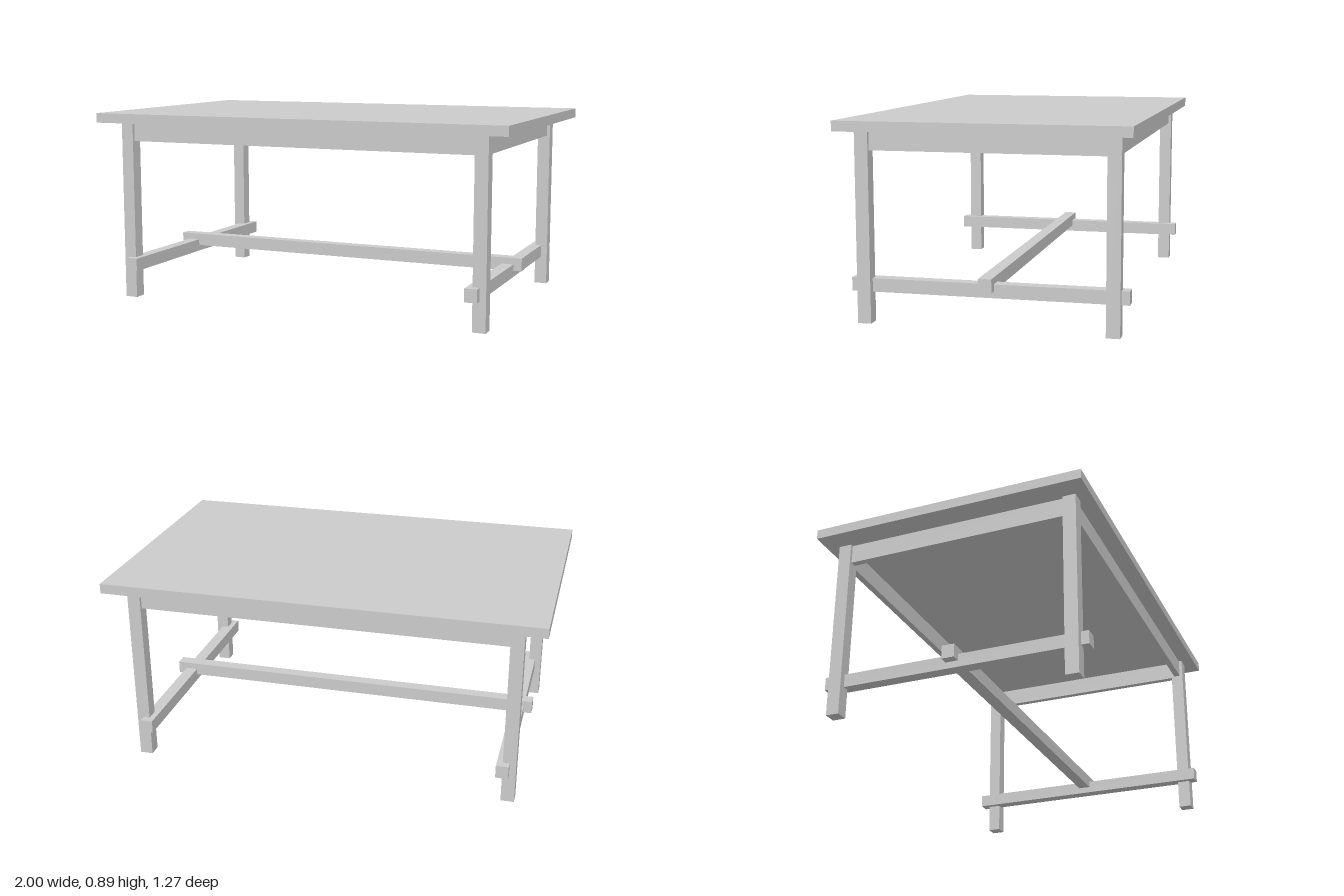
import * as THREE from 'three';

const material = new THREE.MeshStandardMaterial({ color: 0xcccccc, flatShading: true });

export function createModel() {
  const table = new THREE.Group();
  table.name = 'table';

  // Adds a box by size and centre
  const beam = (name, [w, h, d], [x, y, z]) => {
    const mesh = new THREE.Mesh(new THREE.BoxGeometry(w, h, d), material);
    mesh.name = name;
    mesh.position.set(x, y, z);
    table.add(mesh);
  };

  const leg = 0.06, legX = 0.87, legZ = 0.545, legHeight = 0.842;
  const topThickness = 0.045, apronHeight = 0.088, apronThickness = 0.03;
  const apronY = legHeight - apronHeight / 2;

  beam('tableTop', [2, topThickness, 1.27], [0, legHeight + topThickness / 2, 0]);

  for (const sx of [1, -1]) {
    const side = sx > 0 ? 'left' : 'right';
    for (const sz of [1, -1]) {
      beam(`${side}${sz > 0 ? 'Front' : 'Back'}Leg`, [leg, legHeight, leg], [sx * legX, legHeight / 2, sz * legZ]);
    }
    // End apron between the legs, and the low stretcher that pokes out past them
    beam(`${side}Apron`, [apronThickness, apronHeight, 2 * legZ - leg], [sx * legX, apronY, 0]);
    beam(`${side}Stretcher`, [0.057, 0.06, 1.22], [sx * 0.842, 0.166, 0]);
  }

  // Long aprons under the top
  for (const sz of [1, -1]) {
    beam(sz > 0 ? 'frontApron' : 'backApron', [2 * legX - leg, apronHeight, apronThickness], [0, apronY, sz * legZ]);
  }

  // Long centre stretcher notched over the end stretchers
  beam('centreStretcher', [1.82, 0.06, 0.058], [0, 0.196, 0]);

  return table;
}
